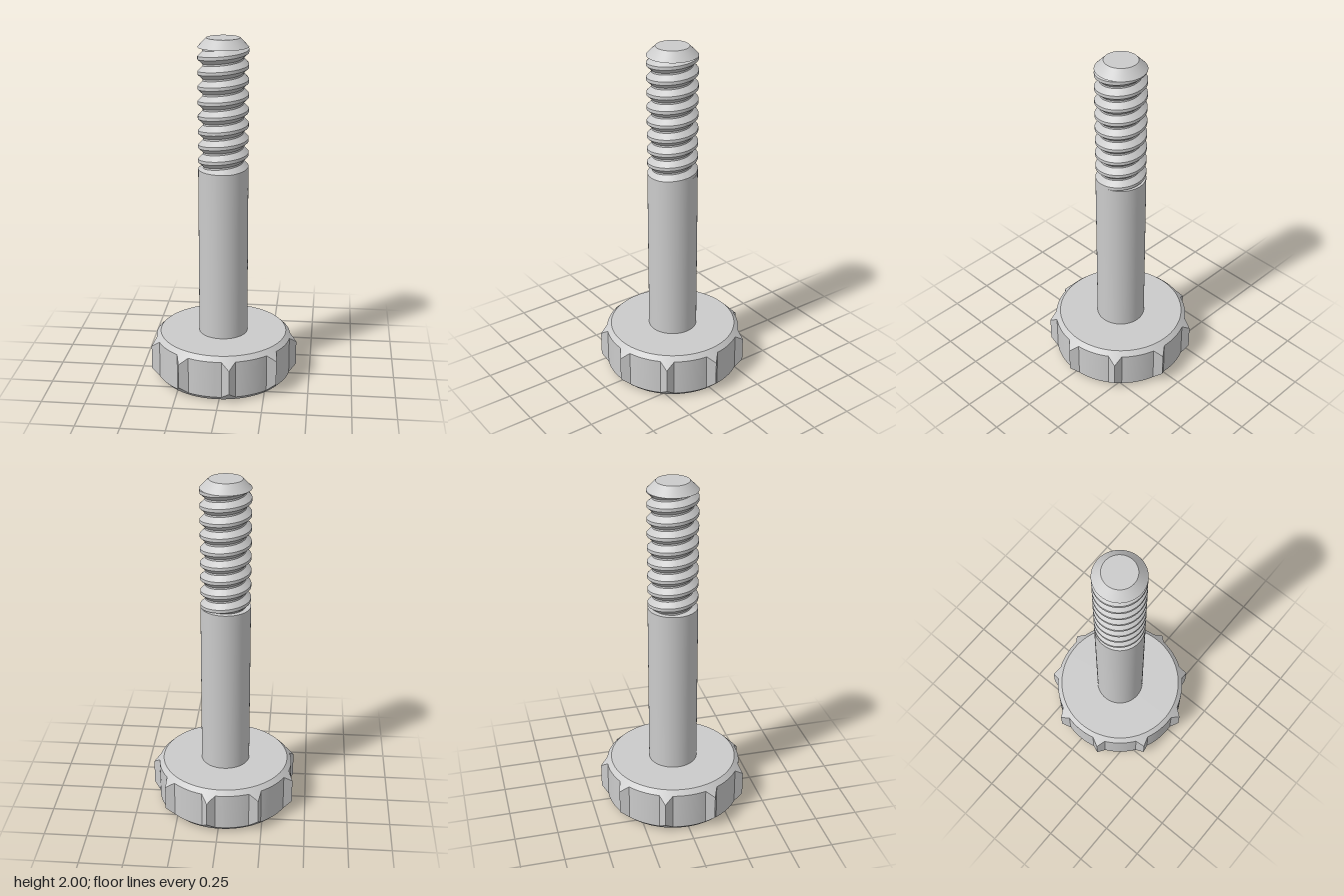
import * as THREE from 'three';
import { toCreasedNormals } from 'three/addons/utils/BufferGeometryUtils.js';

const material = new THREE.MeshStandardMaterial({ color: 0xcccccc });
const HEAD_H = 0.27, FACE_R = 0.37, BODY_R = 0.396, TIP_R = 0.434;
const SHANK_R = 0.142, ROOT_R = 0.114, THREAD_Y0 = 1.26, THREAD_Y1 = 1.95, PITCH = 0.083;

// Closed surface round the y axis; at(row, col) gives [angle, radius, height]
function wrap(rows, cols, at) {
  const pos = [], idx = [];
  for (let i = 0; i <= rows; i++) {
    for (let j = 0; j <= cols; j++) {
      const [t, r, y] = at(i, j);
      pos.push(r * Math.cos(t), y, -r * Math.sin(t));
      if (i < rows && j < cols) {
        const a = i * (cols + 1) + j, d = a + cols + 1;
        idx.push(a, a + 1, d + 1, a, d + 1, d);
      }
    }
  }
  const g = new THREE.BufferGeometry();
  g.setAttribute('position', new THREE.Float32BufferAttribute(pos, 3));
  g.setIndex(idx);
  return toCreasedNormals(g.toNonIndexed(), 0.5);
}

// Knob plan: a circle with nine pointed grip ridges, as [angle, radius]
function knobOutline() {
  const pts = [], step = Math.PI * 2 / 9, half = 0.1, n = 4, arc = 10;
  const base = new THREE.Vector2(BODY_R * Math.cos(half), BODY_R * Math.sin(half));
  const tip = new THREE.Vector2(TIP_R, 0);
  for (let k = 0; k < 9; k++) {
    for (let s = -n; s < n; s++) {
      const p = tip.clone().lerp(base, Math.abs(s) / n);
      const a = Math.atan2(p.y, p.x) * Math.sign(s);
      pts.push([k * step + a, p.length()]);
    }
    for (let s = 0; s < arc; s++) {
      pts.push([k * step + half + (step - 2 * half) * s / arc, BODY_R]);
    }
  }
  pts.push([pts[0][0] + Math.PI * 2, pts[0][1]]);
  return pts;
}

// Knob with 45 degree chamfers cutting the ridges above and below
function knobGeometry() {
  const outline = knobOutline();
  return wrap(5, outline.length - 1, (i, j) => {
    const [t, r] = outline[j], c = r - FACE_R;
    const profile = [[0, 0], [FACE_R, 0], [r, c], [r, HEAD_H - c], [FACE_R, HEAD_H], [0, HEAD_H]];
    return [t, ...profile[i]];
  });
}

// Right-handed helical thread, trimmed flat at both ends
function threadGeometry() {
  const tooth = [[0, SHANK_R], [0.35, ROOT_R], [0.47, ROOT_R], [0.78, SHANK_R]];
  const turns = Math.ceil((THREAD_Y1 - THREAD_Y0) / PITCH) + 3, cols = 96;
  return wrap(turns * tooth.length, cols, (i, j) => {
    const [f, r] = tooth[i % tooth.length];
    const turn = Math.floor(i / tooth.length) - 2;
    const y = THREAD_Y0 + 0.015 + (turn + f + j / cols) * PITCH;
    return [j / cols * Math.PI * 2, r, THREE.MathUtils.clamp(y, THREAD_Y0, THREAD_Y1)];
  });
}

export function createModel() {
  const group = new THREE.Group();
  const add = (name, geometry, y = 0) => {
    const mesh = new THREE.Mesh(geometry, material);
    mesh.name = name;
    mesh.position.set(-0.014, y, 0);
    group.add(mesh);
  };

  add('knob', knobGeometry());

  // Plain shank between knob and thread
  const shankH = THREAD_Y0 - HEAD_H;
  add('shank', new THREE.CylinderGeometry(SHANK_R, SHANK_R, shankH, 96), HEAD_H + shankH / 2);

  add('thread', threadGeometry());

  // Chamfered end
  const tipH = 2 - THREAD_Y1;
  add('tip', new THREE.CylinderGeometry(0.093, SHANK_R, tipH, 96), THREAD_Y1 + tipH / 2);

  return group;
}
